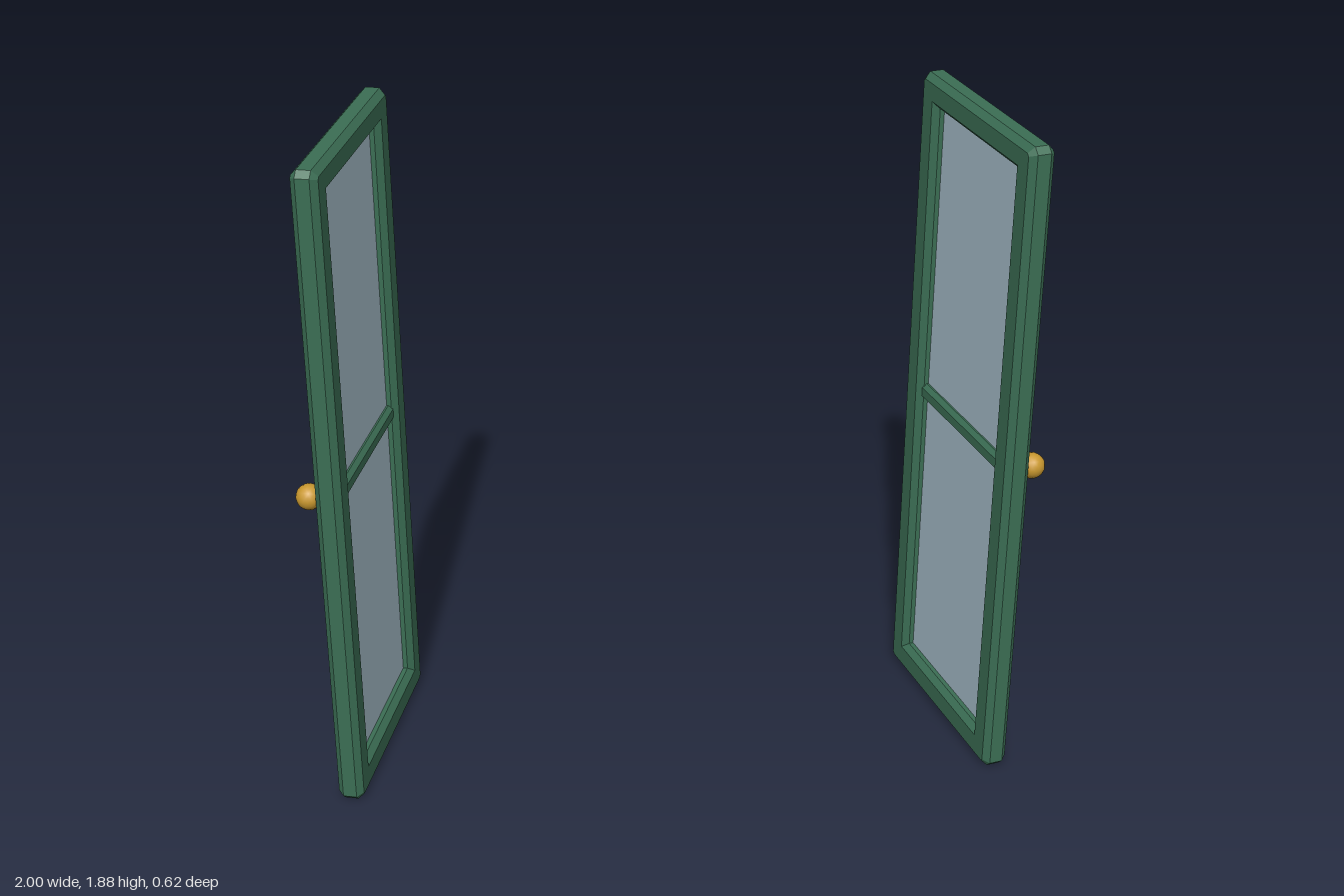
import * as THREE from 'three';

const HEIGHT = 1.88, HALF_W = 0.316, THICK = 0.072, BEVEL = 0.017, MID_Y = 0.945;

function material(name, color) {
  const m = new THREE.MeshStandardMaterial({ color });
  m.name = name;
  return m;
}

// Rectangle outline with corners cut by c
function cutRect(PathType, hw, y0, y1, c) {
  const p = new PathType();
  p.moveTo(-hw + c, y0);
  p.lineTo(hw - c, y0);
  p.lineTo(hw, y0 + c);
  p.lineTo(hw, y1 - c);
  p.lineTo(hw - c, y1);
  p.lineTo(-hw + c, y1);
  p.lineTo(-hw, y1 - c);
  p.lineTo(-hw, y0 + c);
  p.closePath();
  return p;
}

// Plain rectangular hole
function rectHole(hw, y0, y1) {
  return new THREE.Path([
    new THREE.Vector2(-hw, y0), new THREE.Vector2(-hw, y1),
    new THREE.Vector2(hw, y1), new THREE.Vector2(hw, y0),
  ]);
}

// Chamfered slab centred on z = 0
function slab(shape, thick, bevel) {
  const geo = new THREE.ExtrudeGeometry(shape, {
    depth: thick - 2 * bevel, bevelEnabled: true, bevelSegments: 1,
    bevelThickness: bevel, bevelSize: bevel, bevelOffset: -bevel,
  });
  return geo.translate(0, 0, -thick / 2 + bevel);
}

export function createModel() {
  const green = material('green paint', 0x3b6e54);
  const glass = material('pale glass', 0xa9c0cc);
  const brass = material('brass', 0xc9982f);

  // Frame with chamfers round both outline and opening
  const frameShape = cutRect(THREE.Shape, HALF_W, 0, HEIGHT, BEVEL);
  frameShape.holes.push(rectHole(0.228, 0.09, 1.797));
  const frameGeo = slab(frameShape, THICK, BEVEL);

  // Chamfered rail running across the opening
  const railShape = new THREE.Shape();
  const r = 0.025, d = 0.023, c = 0.012;
  railShape.moveTo(-d + c, -r);
  railShape.lineTo(d - c, -r);
  railShape.lineTo(d, -r + c);
  railShape.lineTo(d, r - c);
  railShape.lineTo(d - c, r);
  railShape.lineTo(-d + c, r);
  railShape.lineTo(-d, r - c);
  railShape.lineTo(-d, -r + c);
  const railGeo = new THREE.ExtrudeGeometry(railShape, { depth: 0.47, bevelEnabled: false })
    .translate(0, 0, -0.235).rotateY(Math.PI / 2);

  const paneGeo = new THREE.BoxGeometry(0.47, 1.73, 0.012);
  const knobGeo = new THREE.IcosahedronGeometry(0.036, 2);

  const model = new THREE.Group();
  model.name = 'pairOfDoors';
  for (const side of [1, -1]) {
    const door = new THREE.Group();
    door.name = side > 0 ? 'leftDoor' : 'rightDoor';
    const add = (name, geo, mat, y = 0) => {
      const mesh = new THREE.Mesh(geo, mat);
      mesh.name = name;
      mesh.position.y = y;
      door.add(mesh);
      return mesh;
    };
    add('frame', frameGeo, green);
    add('glassPane', paneGeo, glass, MID_Y);
    add('middleRail', railGeo, green, MID_Y);

    // Knob on the outer face, near the front edge
    const knob = add('knob', knobGeo, brass, MID_Y);
    knob.position.x = 0.265;
    knob.position.z = -side * 0.065;

    // Swing each door so the pair opens toward the front
    door.position.x = side * 0.833;
    door.rotation.y = -Math.PI / 2 + side * Math.PI / 12;
    model.add(door);
  }
  return model;
}
